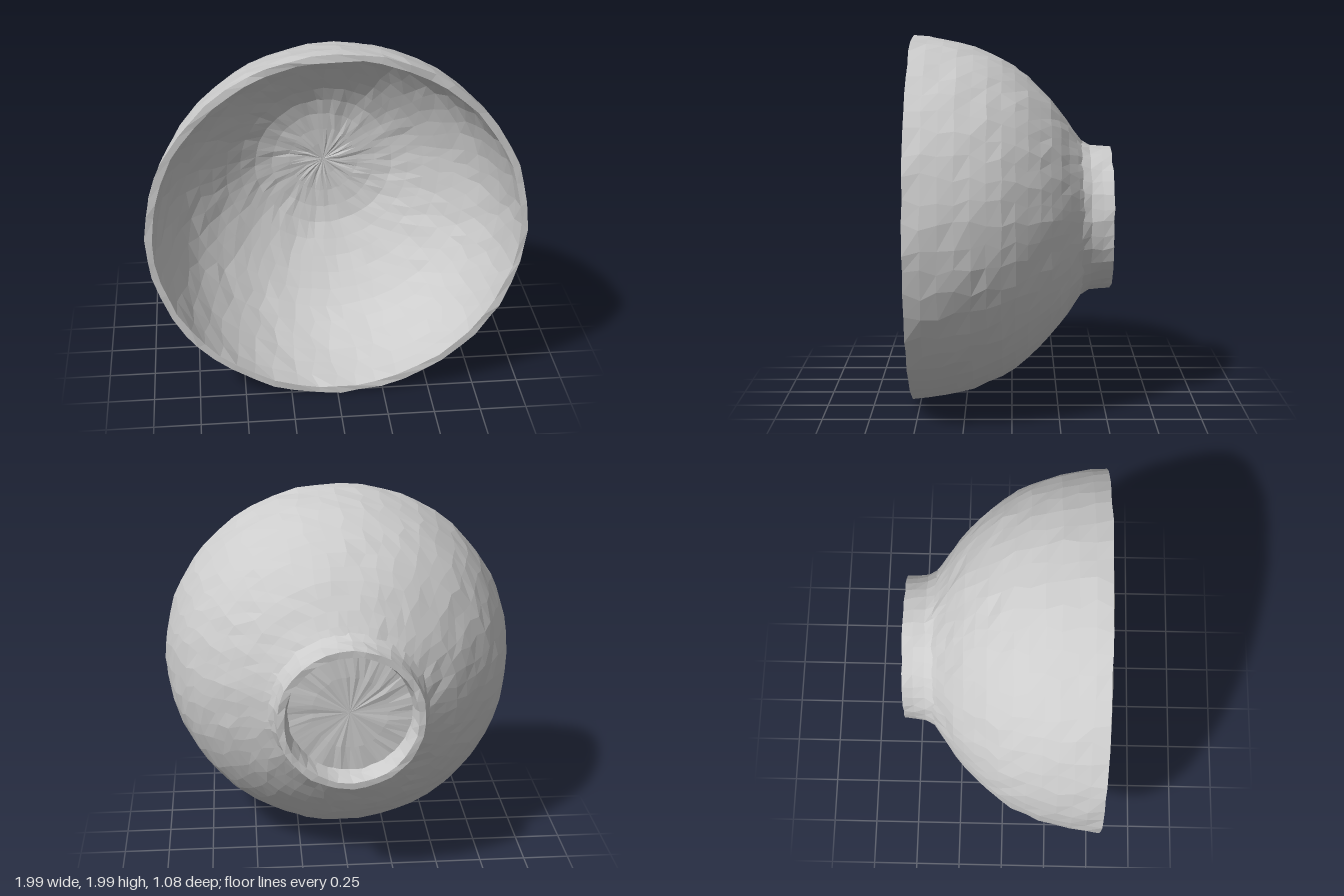
import * as THREE from 'three';
import { mergeVertices } from 'three/addons/utils/BufferGeometryUtils.js';

export function createModel() {
  const clay = new THREE.MeshStandardMaterial({ color: 0xcccccc });
  clay.name = 'clay grey';
  clay.flatShading = true;

  let seed = 7;
  const rand = () => {
    seed = (seed * 16807) % 2147483647;
    return seed / 2147483647 - 0.5;
  };

  // Turned form around the z axis with a slightly uneven hand-made surface
  function turned(name, profile, segments, along, out) {
    const points = profile.map(([r, z]) => new THREE.Vector2(r, z));
    let geo = new THREE.LatheGeometry(points, segments);
    geo.deleteAttribute('uv');
    geo.deleteAttribute('normal');
    geo = mergeVertices(geo, 1e-4);
    const p = geo.attributes.position;
    for (let i = 0; i < p.count; i++) {
      const r = Math.hypot(p.getX(i), p.getZ(i));
      const a = Math.atan2(p.getX(i), p.getZ(i)) + rand() * along;
      const k = r + (r > 0.01 ? rand() * out : 0);
      p.setXYZ(i, k * Math.sin(a), p.getY(i) + rand() * out, k * Math.cos(a));
    }
    geo.rotateX(Math.PI / 2);
    geo.computeVertexNormals();
    const mesh = new THREE.Mesh(geo, clay);
    mesh.name = name;
    mesh.position.y = 0.99;
    return mesh;
  }

  // Curved wall from the base edge to the rim
  const wall = (pts, n) => new THREE.SplineCurve(pts.map(([r, z]) => new THREE.Vector2(r, z)))
    .getSpacedPoints(n).map(v => [v.x, v.y]);
  const outer = wall([[0.39, -0.40], [0.5, -0.32], [0.66, -0.2], [0.835, 0],
    [0.93, 0.2], [0.978, 0.4], [0.993, 0.53]], 14);
  const inner = wall([[0.957, 0.53], [0.94, 0.4], [0.89, 0.2], [0.795, 0],
    [0.62, -0.17], [0.4, -0.31], [0.2, -0.35], [0, -0.36]], 15);

  const group = new THREE.Group();
  group.name = 'bowl';
  group.add(turned('bowlShell', [[0, -0.42], [0.2, -0.42], [0.37, -0.415], ...outer, ...inner], 52, 0.05, 0.009));

  // Hollow foot ring on the back
  group.add(turned('footRing', [[0.325, -0.39], [0.335, -0.46], [0.352, -0.537],
    [0.388, -0.537], [0.392, -0.48], [0.4, -0.42], [0.43, -0.365]], 34, 0.06, 0.008));
  return group;
}
